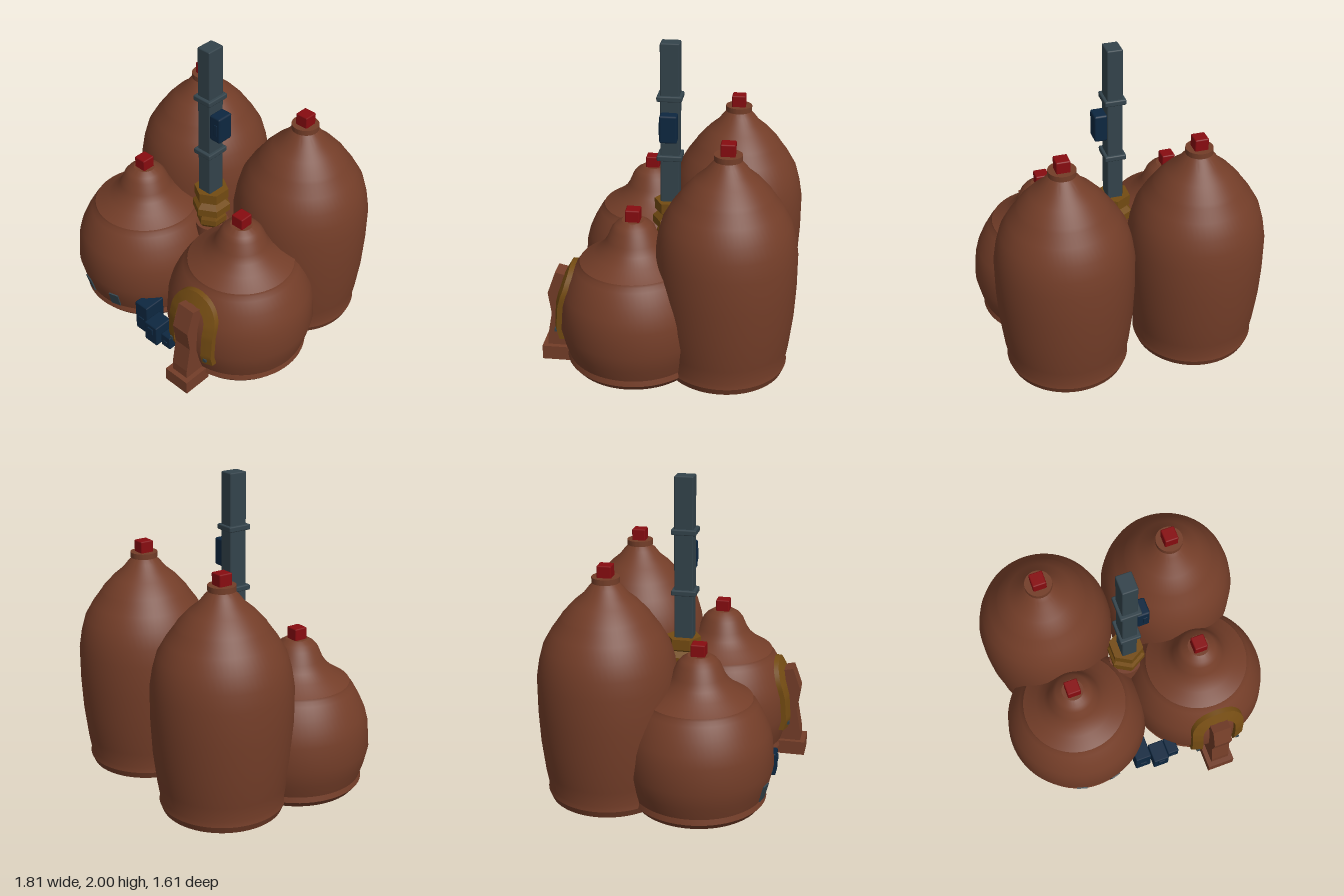
import * as THREE from 'three';
import { toCreasedNormals } from 'three/addons/utils/BufferGeometryUtils.js';
import { RoundedBoxGeometry } from 'three/addons/geometries/RoundedBoxGeometry.js';

const material = (name, color) => {
  const m = new THREE.MeshStandardMaterial({ color });
  m.name = name;
  return m;
};

// Pot outlines as [radius, height]
const SHORT = [[0, 0.005], [0.35, 0.005], [0.4, 0.025], [0.432, 0.065], [0.424, 0.1], [0.45, 0.18], [0.475, 0.29],
  [0.463, 0.45], [0.445, 0.52], [0.41, 0.6], [0.365, 0.68], [0.343, 0.705], [0.338, 0.72], [0.25, 0.775],
  [0.195, 0.825], [0.165, 0.87], [0.135, 0.94], [0.11, 0.97], [0.07, 0.995], [0, 0.995]];
const TALL = [[0, 0.005], [0.345, 0.005], [0.375, 0.02], [0.393, 0.065], [0.388, 0.1], [0.405, 0.2], [0.428, 0.4],
  [0.438, 0.6], [0.438, 0.82], [0.42, 0.93], [0.392, 1.03], [0.34, 1.12], [0.285, 1.195], [0.273, 1.215],
  [0.2, 1.295], [0.14, 1.345], [0.105, 1.39], [0.075, 1.42], [0.086, 1.42], [0.086, 1.455], [0, 1.455]];

const POT_X = 0.43, SHORT_Z = 0.21, TALL_Z = -0.365;

const lathe = (points, segments, crease) => toCreasedNormals(
  new THREE.LatheGeometry(points.map(([r, y]) => new THREE.Vector2(r, y)), segments), crease);

// Radius of a short pot at a height
function shortRadius(y) {
  for (let i = 2; i < SHORT.length; i++) {
    const [r0, y0] = SHORT[i - 1], [r1, y1] = SHORT[i];
    if (y <= y1) return r0 + (r1 - r0) * (y - y0) / (y1 - y0);
  }
  return 0;
}
// Front surface of a short pot, dx measured from its axis
const frontZ = (dx, y) => SHORT_Z + Math.sqrt(Math.max(0, shortRadius(y) ** 2 - dx * dx));

// Bar bent into an arch that hugs the pot front
function archGeometry() {
  const radius = 0.15, leg = 0.28, foot = 0.22, bend = Math.PI * radius;
  const length = leg * 2 + bend;
  const geo = new THREE.BoxGeometry(0.068, length, 0.05, 2, 56, 1);
  const p = geo.attributes.position;
  for (let i = 0; i < p.count; i++) {
    const s = p.getY(i) + length / 2, w = p.getX(i), r = radius - w;
    let x, y;
    if (s < leg) { x = r; y = foot + s; }
    else if (s > leg + bend) { x = -r; y = foot + length - s; }
    else {
      const a = (s - leg) / radius;
      x = r * Math.cos(a); y = foot + leg + r * Math.sin(a);
    }
    p.setXYZ(i, -x, y, p.getZ(i) + frontZ(x, y) + 0.008);
  }
  // mirrored mapping, so the corner order is turned round
  const idx = geo.index;
  for (let i = 0; i < idx.count; i += 3) {
    const a = idx.getX(i);
    idx.setX(i, idx.getX(i + 1));
    idx.setX(i + 1, a);
  }
  // keep the winding that faces away from the pot
  const v = [0, 1, 2].map(() => new THREE.Vector3());
  const start = geo.groups[4].start;
  v.forEach((q, k) => q.fromBufferAttribute(p, idx.getX(start + k)));
  if (v[1].sub(v[0]).cross(v[2].sub(v[0])).z < 0) geo.index.array.reverse();
  geo.computeVertexNormals();
  return geo;
}

export function createModel() {
  const group = new THREE.Group();
  const clay = material('clay brown', 0x733d28);
  const gold = material('dark gold', 0x734b12);
  const slate = material('slate grey', 0x33434b);
  const navy = material('navy blue', 0x0d2740);
  const red = material('cap red', 0x870c10);

  const add = (name, geo, mat, x = 0, y = 0, z = 0) => {
    const mesh = new THREE.Mesh(geo, mat);
    mesh.name = name;
    mesh.position.set(x, y, z);
    group.add(mesh);
    return mesh;
  };
  // Slightly bevelled box given by its lower and upper corners
  const block = (name, mat, [x0, y0, z0], [x1, y1, z1], bevel = 0.008) => add(name,
    new RoundedBoxGeometry(x1 - x0, y1 - y0, z1 - z0, 1, bevel), mat,
    (x0 + x1) / 2, (y0 + y1) / 2, (z0 + z1) / 2);

  // Four pots with red caps
  const shortGeo = lathe(SHORT, 64, 0.5), tallGeo = lathe(TALL, 64, 0.5);
  for (const side of [-1, 1]) {
    const x = side * POT_X;
    add('shortPot', shortGeo, clay, x, 0, SHORT_Z);
    add('tallPot', tallGeo, clay, x, 0, TALL_Z);
    block('shortPotCap', red, [x - 0.044, 0.985, SHORT_Z - 0.045], [x + 0.044, 1.07, SHORT_Z + 0.045]);
    block('tallPotCap', red, [x - 0.044, 1.445, TALL_Z - 0.045], [x + 0.044, 1.53, TALL_Z + 0.045]);
  }

  // Central column, six-sided collar and square pipe
  add('centreColumn', new THREE.CylinderGeometry(0.11, 0.11, 0.66, 24), clay, 0, 0.335, 0.02);
  const collar = [[0, 0.65], [0.07, 0.65], [0.1, 0.69], [0.1, 0.73], [0.085, 0.765], [0.125, 0.78], [0.125, 0.83],
    [0.09, 0.865], [0.113, 0.88], [0.113, 0.95], [0, 0.95]];
  add('pipeCollar', lathe(collar, 6, 0.2), gold, 0, 0, 0.027);
  block('pipe', slate, [-0.05, 0.9, -0.027], [0.05, 2, 0.095]);
  for (const y of [1.252, 1.648])
    block('pipeFlange', slate, [-0.069, y - 0.018, -0.044], [0.069, y + 0.018, 0.116]);
  block('pipeBox', navy, [0.045, 1.38, -0.02], [0.13, 1.56, 0.092], 0.012);
  block('pipeBoxLatch', navy, [0.085, 1.43, 0.09], [0.112, 1.51, 0.097], 0.003);

  // Small windows
  for (const dx of [-0.12, 0.12]) {
    const pane = add('window', new THREE.BoxGeometry(0.07, 0.11, 0.009), slate,
      -POT_X + dx, 0.17, frontZ(dx, 0.17) + 0.004);
    pane.rotation.set(0.26, Math.atan2(dx, 0.43), 0, 'YXZ');
  }

  // Crates between the front pots
  block('tallCrate', navy, [-0.14, 0.01, 0.46], [-0.03, 0.24, 0.615]);
  block('tallCrateHandle', navy, [-0.108, 0.12, 0.61], [-0.062, 0.13, 0.622], 0.003);
  block('middleCrate', navy, [-0.018, 0.01, 0.515], [0.092, 0.165, 0.65]);
  block('middleCratePanel', navy, [0.014, 0.09, 0.645], [0.06, 0.14, 0.658], 0.004);
  block('smallCrate', navy, [0.1, 0.01, 0.5], [0.18, 0.11, 0.615]);
  block('smallCrateHandle', navy, [0.125, 0.055, 0.61], [0.155, 0.065, 0.622], 0.003);

  // Arch with rivets
  add('arch', archGeometry(), gold, POT_X);
  for (const dx of [-0.145, 0.145])
    add('rivet', new THREE.BoxGeometry(0.022, 0.022, 0.02), slate, POT_X + dx, 0.265, frontZ(dx, 0.265) + 0.033);

  // Bent flue on a foot block
  const flue = new THREE.Shape([[0.6, 0.08], [0.77, 0.08], [0.768, 0.16], [0.737, 0.33], [0.757, 0.475],
    [0.703, 0.625], [0.64, 0.61], [0.54, 0.58]].map(([z, y]) => new THREE.Vector2(z, y)));
  const flueGeo = new THREE.ExtrudeGeometry(flue, { depth: 0.124, bevelEnabled: false });
  flueGeo.translate(0, 0, -0.062).rotateY(-Math.PI / 2);
  add('flue', flueGeo, clay, POT_X - 0.002);
  add('flueFoot', new THREE.BoxGeometry(0.185, 0.095, 0.2), clay, POT_X - 0.002, 0.0525, 0.702);

  return group;
}
